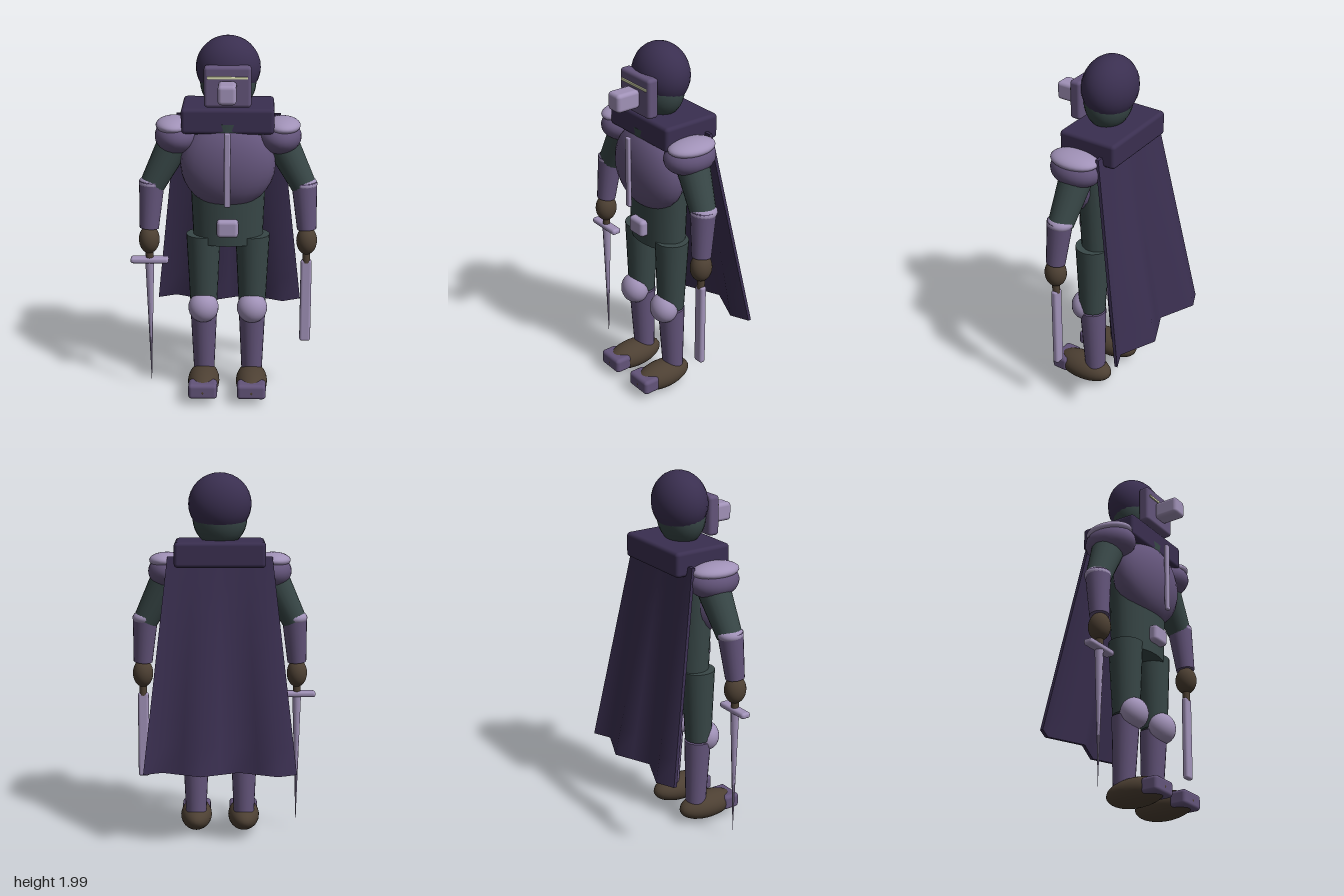
import * as THREE from 'three';
import { RoundedBoxGeometry } from 'three/addons/geometries/RoundedBoxGeometry.js';

const mat = (name, color, side = THREE.FrontSide) => {
  const m = new THREE.MeshStandardMaterial({ color, side });
  m.name = name;
  return m;
};

export function createModel() {
  const dark = mat('dark violet cloth', 0x3a2f50);
  const plate = mat('violet plate', 0x63547a);
  const trim = mat('pale lilac trim', 0xa192b8);
  const suit = mat('dark green suit', 0x384747);
  const leather = mat('brown leather', 0x4d4033);
  const glow = mat('pale visor slit', 0xdde0b4);

  const model = new THREE.Group();
  model.name = 'armouredFigure';
  const body = new THREE.Group();
  body.name = 'body';
  body.position.x = 0.024;
  model.add(body);

  const add = (name, geometry, material, pos = [0, 0, 0]) => {
    const mesh = new THREE.Mesh(geometry, material);
    mesh.name = name;
    mesh.position.set(...pos);
    body.add(mesh);
    return mesh;
  };
  const ball = (name, material, pos, radii) => {
    const mesh = add(name, new THREE.SphereGeometry(1, 24, 16), material, pos);
    mesh.scale.set(...radii);
    return mesh;
  };
  const box = (name, material, pos, size, r = 0.018) =>
    add(name, new RoundedBoxGeometry(...size, 3, r), material, pos);
  // Tapered limb running from point a to point b
  const limb = (name, material, a, b, ra, rb) => {
    const from = new THREE.Vector3(...a), to = new THREE.Vector3(...b);
    const axis = from.clone().sub(to);
    const mesh = add(name, new THREE.CylinderGeometry(ra, rb, axis.length(), 20), material);
    mesh.position.copy(from).add(to).multiplyScalar(0.5);
    mesh.quaternion.setFromUnitVectors(new THREE.Vector3(0, 1, 0), axis.normalize());
    return mesh;
  };

  // Head and helmet
  ball('head', suit, [0, 1.76, 0.035], [0.148, 0.16, 0.122]);
  ball('helmet', dark, [0, 1.833, 0.025], [0.17, 0.167, 0.142]);
  box('visor', plate, [0, 1.76, 0.165], [0.245, 0.215, 0.065]);
  box('visorSlit', glow, [0, 1.81, 0.2], [0.21, 0.014, 0.009], 0.003);
  box('breather', trim, [0, 1.745, 0.262], [0.095, 0.1, 0.14], 0.02);

  // Torso
  const torso = add('torso', new THREE.CylinderGeometry(0.215, 0.187, 0.675, 28), suit, [0, 1.2225, 0.045]);
  torso.scale.z = 0.63;
  ball('chestPlate', plate, [0, 1.325, 0.1], [0.252, 0.235, 0.137]);
  box('chestRidge', trim, [0, 1.33, 0.239], [0.032, 0.4, 0.022], 0.008);
  box('beltBuckle', trim, [0, 0.992, 0.172], [0.115, 0.095, 0.06], 0.02);
  box('collar', dark, [0, 1.573, 0.01], [0.487, 0.135, 0.336], 0.02);

  // Arms and legs, mirrored
  for (const s of [-1, 1]) {
    const side = s > 0 ? 'left' : 'right';
    ball(side + 'Pauldron', plate, [s * 0.272, 1.47, 0.05], [0.117, 0.092, 0.147]);
    ball(side + 'PauldronCap', trim, [s * 0.288, 1.53, 0.052], [0.095, 0.042, 0.137]);
    limb(side + 'UpperArm', suit, [s * 0.27, 1.46, 0.04], [s * 0.405, 1.2, 0.063], 0.092, 0.068);
    ball(side + 'ElbowGuard', trim, [s * 0.408, 1.212, 0.063], [0.07, 0.043, 0.072]);
    limb(side + 'Forearm', plate, [s * 0.407, 1.22, 0.065], [s * 0.424, 0.965, 0.088], 0.069, 0.052);
    ball(side + 'Hand', leather, [s * 0.425, 0.9, 0.09], [0.056, 0.078, 0.061]);
    limb(side + 'Grip', leather, [s * 0.425, 0.9, 0.09], [s * 0.425, 0.775, 0.09], 0.021, 0.021);

    limb(side + 'Thigh', suit, [s * 0.133, 0.925, 0.055], [s * 0.133, 0.51, 0.06], 0.093, 0.073);
    limb(side + 'Shin', plate, [s * 0.133, 0.5, 0.057], [s * 0.133, 0.12, 0.045], 0.074, 0.057);
    ball(side + 'KneeGuard', trim, [s * 0.133, 0.515, 0.108], [0.083, 0.085, 0.075]);
    ball(side + 'Boot', leather, [s * 0.133, 0.083, 0.121], [0.087, 0.077, 0.176]);
    box(side + 'ToeCap', plate, [s * 0.133, 0.087, 0.245], [0.158, 0.085, 0.1], 0.02);
  }

  // Sword in the right hand
  box('swordGuard', trim, [-0.425, 0.782, 0.09], [0.207, 0.033, 0.056], 0.014);
  const blade = add('swordBlade', new THREE.ConeGeometry(0.024, 0.735, 8), trim, [-0.425, 0.405, 0.09]);
  blade.rotation.x = Math.PI;

  // Baton in the left hand
  box('baton', trim, [0.425, 0.553, 0.09], [0.06, 0.475, 0.036], 0.014);

  // Cape: a thin slab that flares and ripples towards the hem
  const cape = new THREE.BoxGeometry(1, 1, 1, 8, 8, 1);
  const p = cape.attributes.position;
  for (let i = 0; i < p.count; i++) {
    const u = p.getX(i), t = 0.5 - p.getY(i);
    const ripple = 0.045 * t * Math.sin(4 * Math.PI * (u + 0.5));
    p.setXYZ(i,
      2 * u * (0.28 + 0.128 * t),
      1.56 - 1.14 * t,
      -0.08 - 0.2 * t - ripple + p.getZ(i) * 0.018);
  }
  cape.computeVertexNormals();
  add('cape', cape, dark);

  return model;
}
